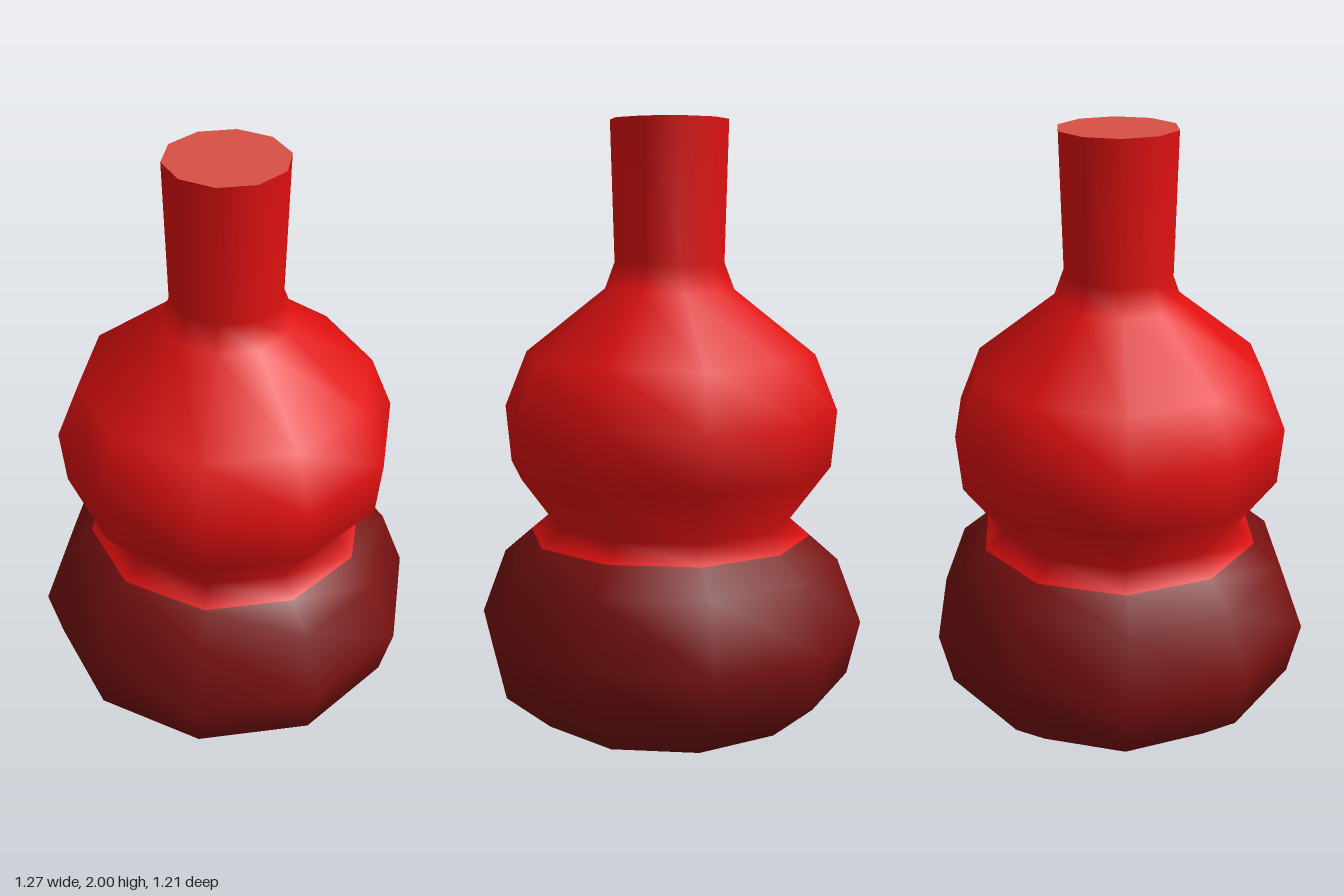
import * as THREE from 'three';

const SIDES = 10;

const red = new THREE.MeshStandardMaterial({ color: 0xe01010 });
red.name = 'bright red';
const darkRed = new THREE.MeshStandardMaterial({ color: 0x781010 });
darkRed.name = 'dark red';
const paleRed = new THREE.MeshStandardMaterial({ color: 0xd85046 });
paleRed.name = 'pale red';

// Turned ten-sided part from [radius, height] pairs, with a corner on +x
function turned(name, profile, material) {
  const points = profile.map(([r, y]) => new THREE.Vector2(r, y));
  const mesh = new THREE.Mesh(new THREE.LatheGeometry(points, SIDES, Math.PI / 2), material);
  mesh.name = name;
  return mesh;
}

export function createModel() {
  const bottle = new THREE.Group();
  bottle.name = 'gourdBottle';

  // Lower bulb, with a shallow pointed underside
  bottle.add(turned('lowerBulb', [
    [0, 0], [0.445, 0.065], [0.595, 0.19], [0.637, 0.367], [0.557, 0.58], [0.465, 0.66],
  ], darkRed));

  // Waist, upper bulb and neck
  bottle.add(turned('upperBulbAndNeck', [
    [0.465, 0.66], [0.4, 0.715], [0.53, 0.89], [0.547, 1.075], [0.473, 1.257],
    [0.21, 1.465], [0.178, 1.55], [0.19, 2],
  ], red));

  // Flat cap closing the mouth
  const mouth = new THREE.Mesh(new THREE.CircleGeometry(0.19, SIDES), paleRed);
  mouth.name = 'mouthCap';
  mouth.rotation.x = -Math.PI / 2;
  mouth.position.y = 2;
  bottle.add(mouth);

  return bottle;
}
